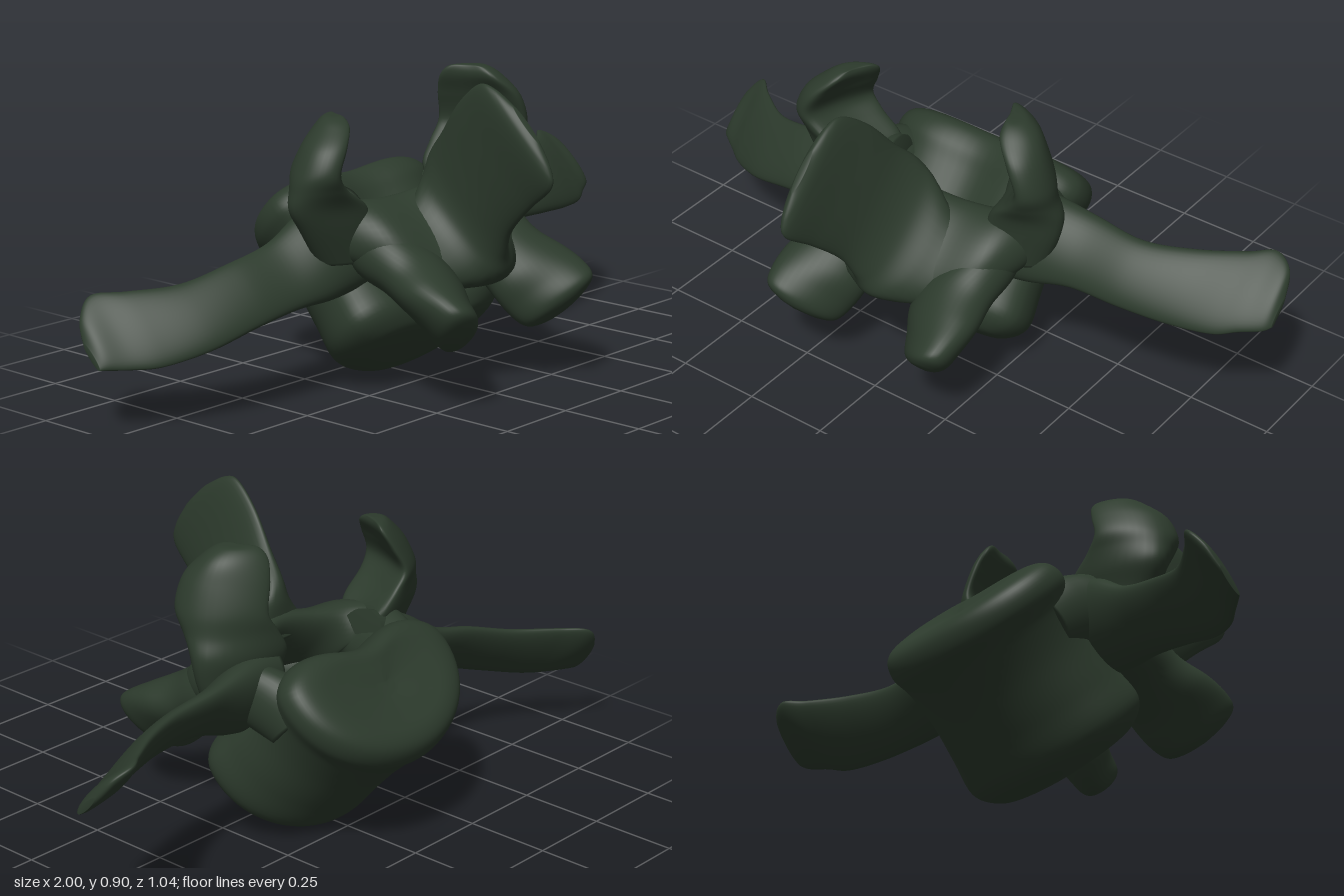
import * as THREE from 'three';

const material = new THREE.MeshStandardMaterial({ color: 0x2c3a2c, side: THREE.DoubleSide });
const R = Math.SQRT1_2;
// Tilted directions: along the spinal canal, and towards the spine's back
const canal = (s) => [0, R * s, -R * s];
const dorsal = (s) => [0, R * s, R * s];
const ellipse = (t) => [Math.cos(t), Math.sin(t)];

// Uniform Catmull-Rom blend of one number
function blend(a, b, c, d, t) {
  return 0.5 * (2 * b + (c - a) * t + (2 * a - 5 * b + 4 * c - d) * t * t + (3 * b - a - 3 * c + d) * t * t * t);
}

// Smooth closed skin through sections [centre, axisA, axisB]
function loft(name, sections, profile = ellipse, around = 40, steps = 8) {
  const rows = sections.map((s) => s.flat());
  const last = rows.length - 1;
  const rings = [];
  for (let i = 0; i < last; i++) {
    const q = [rows[Math.max(i - 1, 0)], rows[i], rows[i + 1], rows[Math.min(i + 2, last)]];
    for (let k = 0; k < steps + (i === last - 1 ? 1 : 0); k++) {
      rings.push(rows[0].map((_, j) => blend(q[0][j], q[1][j], q[2][j], q[3][j], k / steps)));
    }
  }
  const pos = [];
  const index = [];
  for (const r of rings) {
    for (let j = 0; j < around; j++) {
      const [c, s] = profile((j / around) * Math.PI * 2);
      for (let k = 0; k < 3; k++) pos.push(r[k] + c * r[3 + k] + s * r[6 + k]);
    }
  }
  const capA = pos.length / 3;
  pos.push(...rings[0].slice(0, 3), ...rings[rings.length - 1].slice(0, 3));
  // Choose the winding that faces outward
  const mid = rows[last >> 1];
  const prev = rows[(last >> 1) - 1];
  const normal = new THREE.Vector3(...mid.slice(3, 6)).cross(new THREE.Vector3(...mid.slice(6, 9)));
  const flip = normal.dot(new THREE.Vector3(mid[0] - prev[0], mid[1] - prev[1], mid[2] - prev[2])) < 0;
  const tri = (a, b, c) => (flip ? index.push(a, c, b) : index.push(a, b, c));
  const top = (rings.length - 1) * around;
  for (let j = 0; j < around; j++) {
    const n = (j + 1) % around;
    for (let a = 0; a < top; a += around) {
      const b = a + around;
      tri(a + j, a + n, b + n);
      tri(a + j, b + n, b + j);
    }
    tri(capA, n, j);
    tri(capA + 1, top + j, top + n);
  }
  const geometry = new THREE.BufferGeometry();
  geometry.setAttribute('position', new THREE.Float32BufferAttribute(pos, 3));
  geometry.setIndex(index);
  geometry.computeVertexNormals();
  const mesh = new THREE.Mesh(geometry, material);
  mesh.name = name;
  return mesh;
}

// Kidney outline: long round front, short back notched on the canal side
function kidney(t) {
  const x = Math.cos(t);
  const s = Math.sin(t);
  if (s < 0) return [x, 0.3 + 1.3 * s];
  return [x, 0.3 + 0.7 * s ** 0.75 - 0.3 * s * Math.exp(-((x / 0.45) ** 2))];
}

// Crescent outline, hollow towards the canal
function crescent(t) {
  const s = Math.sin(t);
  return [Math.cos(t) + 0.3 - 0.8 * s * s, s];
}

export function createModel() {
  const group = new THREE.Group();
  group.name = 'vertebra';

  // Body: waisted drum with flared rims; [position along canal, width, depth]
  const drum = [
    [-0.285, 0.03, 0.02], [-0.28, 0.18, 0.11], [-0.26, 0.26, 0.16], [-0.205, 0.31, 0.198],
    [-0.1, 0.298, 0.194], [0.02, 0.285, 0.19], [0.12, 0.295, 0.195], [0.185, 0.318, 0.204],
    [0.235, 0.3, 0.185], [0.255, 0.24, 0.145], [0.25, 0.14, 0.085], [0.24, 0.03, 0.02],
  ];
  group.add(loft('body', drum.map(([u, w, d]) => [
    [0, 0.31 + R * u, -0.22 - R * u], [w, 0, 0], dorsal(d),
  ]), kidney, 64, 6));

  // Neural arch: pedicle, lamina and the other pedicle in one sweep
  const half = [
    [[0.22, 0.4, -0.27], canal(0.1), [0.08, 0, 0]],
    [[0.245, 0.455, -0.18], canal(0.115), [0.08, 0, 0]],
    [[0.265, 0.475, -0.07], canal(0.13), [0.075, 0.015, 0.015]],
    [[0.225, 0.455, 0.03], canal(0.14), [0.05, 0.05, 0.05]],
    [[0.13, 0.45, 0.085], canal(0.155), [0.012, 0.042, 0.042]],
  ];
  const mirrored = half.map(([p, a, b]) => [[-p[0], p[1], p[2]], a, [-b[0], b[1], b[2]]]).reverse();
  group.add(loft('neuralArch', [
    ...half, [[0, 0.465, 0.115], canal(0.16), [0, 0.04, 0.04]], ...mirrored,
  ]));

  // Spinous blade: flared foot, tall and thin, leaning to one side
  group.add(loft('spinousBlade', [
    [[0, 0.415, 0.1], canal(0.14), [0.28, 0, 0]],
    [[0, 0.445, 0.125], canal(0.165), [0.2, 0, 0]],
    [[0, 0.495, 0.145], canal(0.19), [0.12, 0, 0]],
    [[-0.02, 0.55, 0.165], canal(0.187), [0.07, 0, 0]],
    [[-0.045, 0.62, 0.215], canal(0.175), [0.045, 0, 0]],
    [[-0.07, 0.71, 0.3], canal(0.182), [0.034, 0, 0]],
    [[-0.09, 0.775, 0.385], canal(0.18), [0.03, 0, 0]],
    [[-0.095, 0.8, 0.415], canal(0.14), [0.024, 0, 0]],
    [[-0.095, 0.815, 0.43], canal(0.06), [0.01, 0, 0]],
  ]));

  // Lower joint lobes: broad wedges hanging below the arch
  for (const side of [1, -1]) {
    group.add(loft(side > 0 ? 'leftLowerJoint' : 'rightLowerJoint', [
      [[side * 0.26, 0.49, -0.06], [side * 0.05, 0, 0], dorsal(0.06)],
      [[side * 0.235, 0.42, 0.04], [side * 0.08, 0, 0], dorsal(0.09)],
      [[side * 0.2, 0.37, 0.12], [side * 0.11, 0.01, 0.01], dorsal(0.09)],
      [[side * 0.205, 0.32, 0.2], [side * 0.12, 0.03, 0.02], dorsal(0.09)],
      [[side * 0.215, 0.275, 0.26], [side * 0.105, 0.045, 0.035], dorsal(0.09)],
      [[side * 0.22, 0.245, 0.3], [side * 0.085, 0.045, 0.035], dorsal(0.085)],
      [[side * 0.22, 0.23, 0.315], [side * 0.05, 0.025, 0.02], dorsal(0.06)],
      [[side * 0.22, 0.225, 0.32], [side * 0.01, 0, 0], dorsal(0.02)],
    ]));
  }

  // Upper joint plates, curled inward: [x, y, z, half thickness, half width, twist]
  const plates = {
    left: [
      [0.26, 0.42, -0.07, 0.08, 0.08, 0.01], [0.27, 0.52, -0.07, 0.1, 0.09, 0.02],
      [0.28, 0.59, -0.075, 0.1, 0.105, 0.035], [0.305, 0.65, -0.065, 0.07, 0.115, 0.05],
      [0.325, 0.71, -0.055, 0.05, 0.12, 0.05], [0.3, 0.79, -0.05, 0.05, 0.112, 0.045],
      [0.27, 0.845, -0.055, 0.05, 0.085, 0.03], [0.255, 0.875, -0.06, 0.03, 0.05, 0.02],
      [0.25, 0.88, -0.06, 0.006, 0.01, 0],
    ],
    right: [
      [-0.27, 0.4, -0.07, 0.08, 0.08, -0.01], [-0.31, 0.5, -0.07, 0.1, 0.09, -0.02],
      [-0.335, 0.565, -0.075, 0.11, 0.1, -0.03], [-0.38, 0.62, -0.07, 0.075, 0.105, -0.04],
      [-0.4, 0.67, -0.065, 0.052, 0.11, -0.04], [-0.37, 0.735, -0.06, 0.05, 0.1, -0.04],
      [-0.33, 0.785, -0.065, 0.04, 0.075, -0.03], [-0.315, 0.808, -0.07, 0.025, 0.045, -0.02],
      [-0.31, 0.812, -0.07, 0.005, 0.01, 0],
    ],
  };
  for (const [side, list] of Object.entries(plates)) {
    group.add(loft(side + 'UpperJoint', list.map(([x, y, z, t, w, k]) => [
      [x, y, z], [Math.sign(x) * t, 0, 0], [k, 0, w],
    ]), crescent));
  }

  // Transverse wings: long slanted straps, [x, y, z, half height, half depth, thickness]
  const straps = {
    left: [
      [0.2, 0.46, -0.1, 0.12, 0.07, 0.08], [0.32, 0.465, -0.11, 0.11, 0.07, 0.065],
      [0.45, 0.47, -0.12, 0.085, 0.065, 0.038], [0.6, 0.46, -0.125, 0.078, 0.06, 0.03],
      [0.74, 0.455, -0.165, 0.085, 0.07, 0.028], [0.86, 0.455, -0.22, 0.09, 0.085, 0.025],
      [0.925, 0.465, -0.26, 0.085, 0.09, 0.022], [0.98, 0.455, -0.265, 0.065, 0.065, 0.018],
      [1, 0.43, -0.25, 0.03, 0.03, 0.008],
    ],
    right: [
      [-0.2, 0.45, -0.1, 0.12, 0.07, 0.08], [-0.34, 0.415, -0.11, 0.11, 0.07, 0.065],
      [-0.46, 0.375, -0.125, 0.082, 0.062, 0.038], [-0.6, 0.345, -0.14, 0.078, 0.06, 0.03],
      [-0.74, 0.305, -0.18, 0.08, 0.065, 0.028], [-0.86, 0.285, -0.25, 0.09, 0.075, 0.025],
      [-0.93, 0.28, -0.305, 0.088, 0.08, 0.022], [-0.98, 0.255, -0.315, 0.06, 0.055, 0.018],
      [-1, 0.225, -0.305, 0.03, 0.03, 0.008],
    ],
  };
  for (const [side, list] of Object.entries(straps)) {
    group.add(loft(side + 'TransverseWing', list.map(([x, y, z, h, d, t]) => [
      [x, y, z], [0, h, -d], [0, t * 0.7, t * 0.8],
    ])));
  }
  return group;
}
